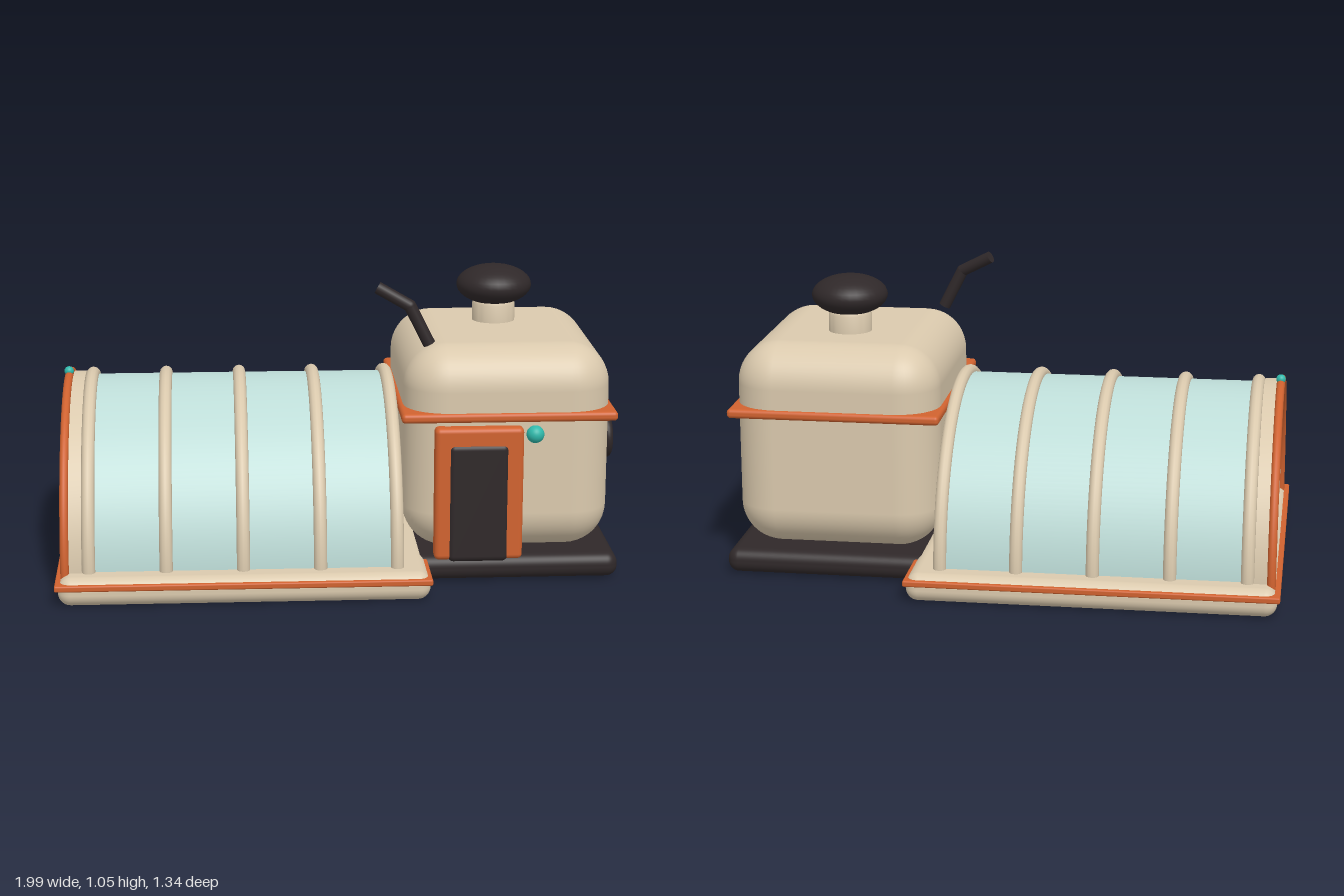
import * as THREE from 'three';
import { RoundedBoxGeometry } from 'three/addons/geometries/RoundedBoxGeometry.js';
import { toCreasedNormals } from 'three/addons/utils/BufferGeometryUtils.js';

const material = (name, color) => {
  const m = new THREE.MeshStandardMaterial({ color });
  m.name = name;
  return m;
};

export function createModel() {
  const cream = material('cream', 0xdac9ad);
  const orange = material('orange', 0xd0622f);
  const dark = material('charcoal', 0x2f2829);
  const glass = material('paleGlass', 0xbddcd7);
  const teal = material('teal', 0x2fb8aa);

  const model = new THREE.Group();
  model.name = 'gardenTunnelWithPotHouse';

  const add = (name, geometry, mat, x = 0, y = 0, z = 0) => {
    const mesh = new THREE.Mesh(geometry, mat);
    mesh.name = name;
    mesh.position.set(x, y, z);
    model.add(mesh);
    return mesh;
  };

  // Rounded box given by its limits on each axis
  const block = (name, mat, [x0, x1], [y0, y1], [z0, z1], radius) =>
    add(name, new RoundedBoxGeometry(x1 - x0, y1 - y0, z1 - z0, 6, radius), mat,
      (x0 + x1) / 2, (y0 + y1) / 2, (z0 + z1) / 2);

  const ball = (name, mat, r, x, y, z) =>
    add(name, new THREE.SphereGeometry(r, 32, 20), mat, x, y, z);

  // Solid half disc running along x
  const vaultY = 0.08;
  const vault = (name, mat, r, x0, x1) => {
    const shape = new THREE.Shape().absarc(0, 0, r, 0, Math.PI, false);
    const g = new THREE.ExtrudeGeometry(shape, { depth: x1 - x0, bevelEnabled: false, curveSegments: 48 });
    g.rotateY(Math.PI / 2);
    return add(name, toCreasedNormals(g, 0.6), mat, x0, vaultY, 0);
  };

  const arch = (name, mat, r, tube, x) => {
    const g = new THREE.TorusGeometry(r, tube, 12, 56, Math.PI);
    g.rotateY(Math.PI / 2);
    return add(name, g, mat, x, vaultY, 0);
  };

  // Tunnel base and its trim
  block('tunnelBase', cream, [-0.99, 0.297], [0, 0.1], [-0.662, 0.662], 0.045);
  block('tunnelBaseTrim', orange, [-1, 0.302], [0.06, 0.082], [-0.668, 0.668], 0.006);

  // Glass vault, ribs and closed end
  vault('glassVault', glass, 0.57, -0.93, 0.185);
  for (let i = 0; i < 5; i++) arch('rib' + (i + 1), cream, 0.573, 0.023, -0.885 + i * 0.2675);
  vault('endWall', cream, 0.582, -0.965, -0.908);
  arch('endArch', orange, 0.582, 0.015, -0.967);
  ball('archBead', teal, 0.017, -0.967, 0.678, 0);

  // Pot house: plinth, body and belt
  block('plinth', dark, [0.22, 0.983], [0.003, 0.092], [-0.45, 0.452], 0.04);
  block('potBody', cream, [0.225, 0.957], [0.092, 0.832], [-0.427, 0.427], 0.15);
  block('potBelt', orange, [0.209, 0.97], [0.576, 0.61], [-0.437, 0.437], 0.014);

  // Lid knob on a softly edged neck
  const neckProfile = [[0, 0], [0.078, 0], [0.078, 0.075], [0.072, 0.09], [0.06, 0.095], [0, 0.095]]
    .map(([r, y]) => new THREE.Vector2(r, y));
  add('knobNeck', toCreasedNormals(new THREE.LatheGeometry(neckProfile, 36), 0.8), cream, 0.588, 0.82, -0.092);
  ball('knob', dark, 0.137, 0.588, 0.965, -0.092).scale.y = 0.53;

  // Bent pipe
  const bend = [[0.312, 0.838, 0.325], [0.243, 0.975, 0.325], [0.132, 1.035, 0.297]]
    .map((p) => new THREE.Vector3(...p));
  for (let i = 0; i < 2; i++) {
    const dir = bend[i + 1].clone().sub(bend[i]);
    const mid = bend[i].clone().addScaledVector(dir, 0.5);
    const pipe = add('pipe' + (i + 1), new THREE.CylinderGeometry(0.022, 0.022, dir.length(), 20), dark, ...mid);
    pipe.quaternion.setFromUnitVectors(new THREE.Vector3(0, 1, 0), dir.normalize());
  }
  ball('pipeElbow', dark, 0.022, ...bend[1]);

  // Door and its knob
  block('doorFrame', orange, [0.324, 0.636], [0.085, 0.565], [0.405, 0.468], 0.018);
  block('doorPanel', dark, [0.371, 0.586], [0.078, 0.508], [0.398, 0.474], 0.022);
  ball('doorKnob', teal, 0.031, 0.671, 0.547, 0.482);

  // Round window on the side
  const ring = new THREE.TorusGeometry(0.063, 0.0175, 14, 40);
  ring.rotateY(Math.PI / 2);
  add('windowRing', ring, dark, 0.977, 0.446, 0.14);
  ball('windowPane', cream, 0.056, 0.957, 0.446, 0.14).scale.x = 0.4;

  return model;
}
